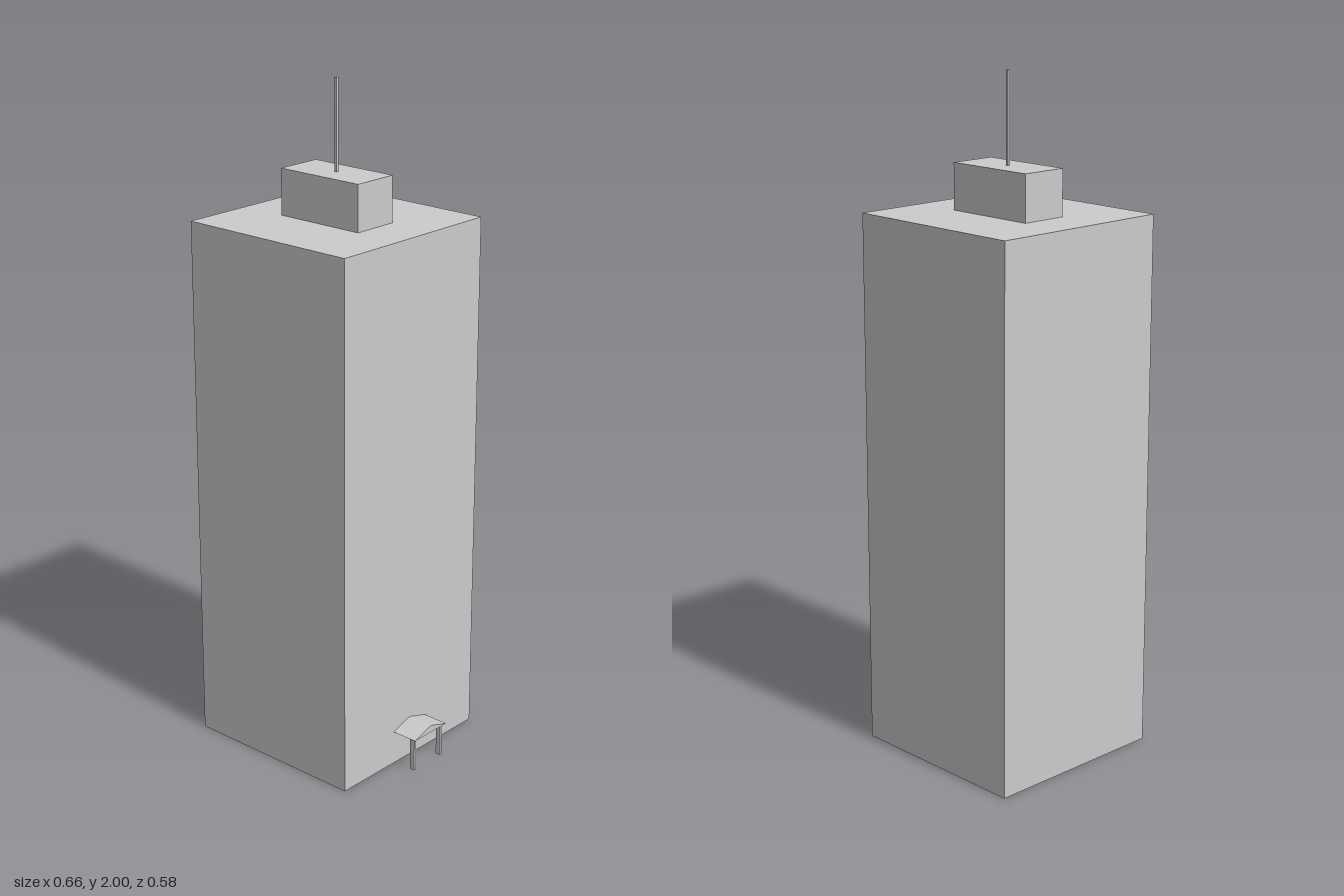
import * as THREE from 'three';

const material = new THREE.MeshStandardMaterial({ color: 0xcccccc, flatShading: true });

// Box standing on height y0
function box(name, w, h, d, x, y0, z = 0) {
  const mesh = new THREE.Mesh(new THREE.BoxGeometry(w, h, d), material);
  mesh.name = name;
  mesh.position.set(x, y0 + h / 2, z);
  return mesh;
}

export function createModel() {
  const group = new THREE.Group();
  group.name = 'towerBlock';
  const cx = -0.041;

  // Main block, rooftop plant room and mast
  group.add(box('tower', 0.578, 1.6, 0.578, cx, 0));
  group.add(box('penthouse', 0.289, 0.136, 0.1445, cx, 1.6));
  group.add(box('mast', 0.008, 0.264, 0.008, cx, 1.736));

  // Entrance canopy: solid gable with a narrow flat ridge, running along x
  const entrance = new THREE.Group();
  entrance.name = 'entrance';
  const gable = new THREE.Shape([
    new THREE.Vector2(-0.072, 0.104),
    new THREE.Vector2(0.072, 0.104),
    new THREE.Vector2(0.005, 0.125),
    new THREE.Vector2(-0.005, 0.125),
  ]);
  const roof = new THREE.Mesh(
    new THREE.ExtrudeGeometry(gable, { depth: 0.082, bevelEnabled: false }), material);
  roof.name = 'canopyRoof';
  roof.rotation.y = Math.PI / 2;
  roof.position.x = 0.248;
  entrance.add(roof);

  // Canopy posts
  for (const side of [-1, 1]) {
    entrance.add(box('canopyPost', 0.016, 0.105, 0.008, 0.313, 0, side * 0.06));
  }
  group.add(entrance);
  return group;
}
